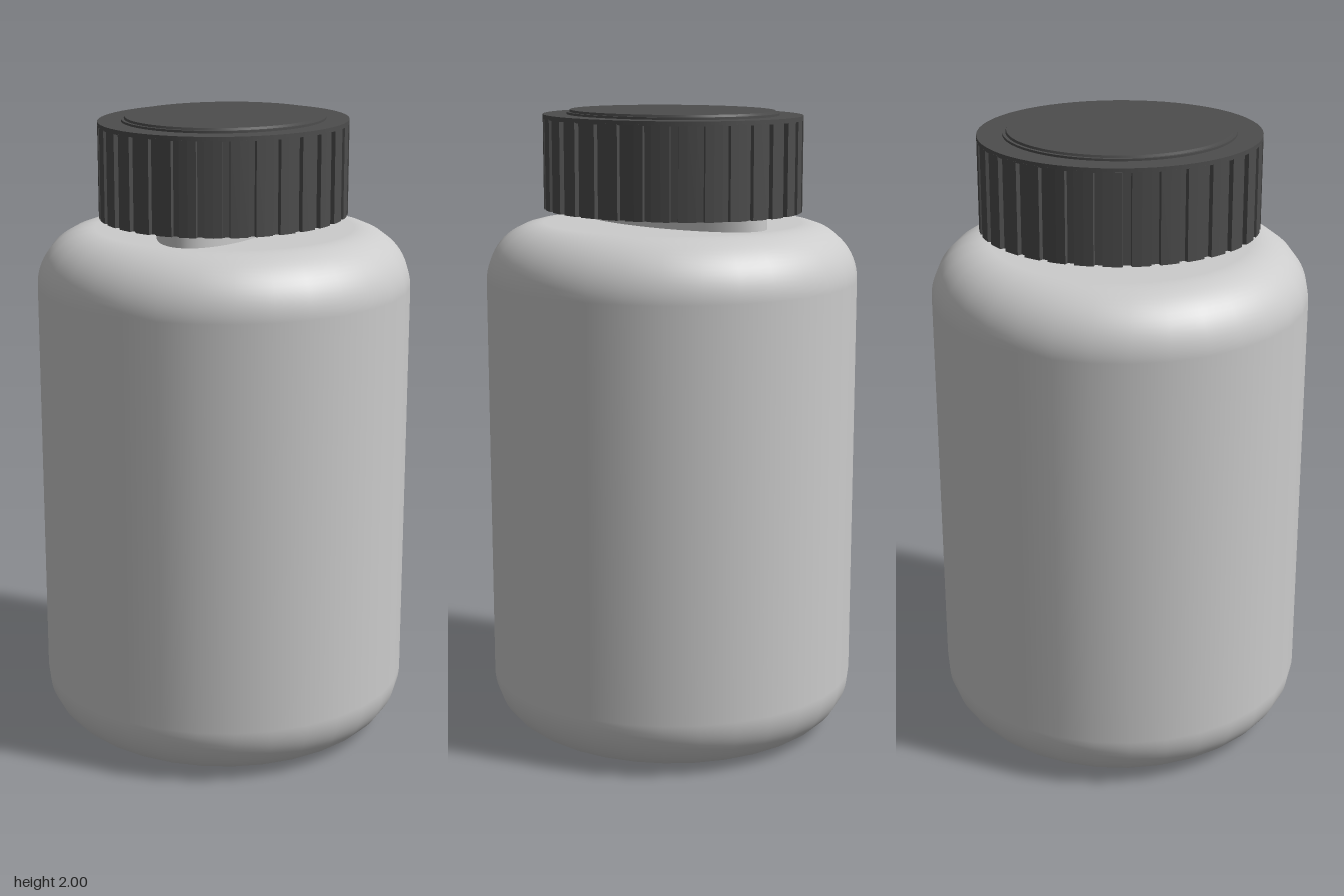
import * as THREE from 'three';

const CAP_X = 0.385, CAP_Z = 0.435;

export function createModel() {
  const group = new THREE.Group();
  const light = new THREE.MeshStandardMaterial({ color: 0xcccccc });
  const dark = new THREE.MeshStandardMaterial({ color: 0x4d4d4d });

  const add = (name, geometry, material) => {
    const mesh = new THREE.Mesh(geometry, material);
    mesh.name = name;
    group.add(mesh);
    return mesh;
  };

  // Elliptical disc standing between two heights
  const disc = (name, rx, rz, y0, y1, material, taper = 0) => {
    const mesh = add(name, new THREE.CylinderGeometry(1 - taper, 1, y1 - y0, 64), material);
    mesh.scale.set(rx, 1, rz);
    mesh.position.y = (y0 + y1) / 2;
  };

  // Bottle body: straight wall with rounded shoulders and foot
  const R = 0.59, H = 1.65, corner = 0.18;
  const profile = new THREE.Path();
  profile.moveTo(0, 0);
  profile.lineTo(R - corner, 0);
  profile.absarc(R - corner, corner, corner, -Math.PI / 2, 0, false);
  profile.lineTo(R, H - corner);
  profile.absarc(R - corner, H - corner, corner, 0, Math.PI / 2, false);
  profile.lineTo(0, H);
  add('body', new THREE.LatheGeometry(profile.getPoints(8), 32), light);

  // Narrow neck under the cap
  disc('neck', 0.17, 0.39, 1.64, 1.71, light);

  // Grip wall of the cap: elliptical outline cut by narrow grooves
  const grooves = 32, step = (Math.PI * 2) / grooves;
  const outline = [];
  for (let i = 0; i < grooves; i++) {
    for (const [t, depth] of [[-0.16, 0], [-0.14, 0.014], [0.14, 0.014], [0.16, 0], [0.5, 0]]) {
      const a = (i + t) * step;
      outline.push(new THREE.Vector2(Math.cos(a) * (CAP_X - depth), Math.sin(a) * (CAP_Z - depth)));
    }
  }
  const grip = new THREE.ExtrudeGeometry(new THREE.Shape(outline), { depth: 0.285, bevelEnabled: false });
  grip.rotateX(-Math.PI / 2);
  grip.translate(0, 1.69, 0);
  add('capGrip', grip, dark);

  // Smooth lid with a raised, stepped centre panel
  disc('capLid', CAP_X, CAP_Z, 1.972, 1.986, dark);
  disc('capPanelStep', 0.313, 0.357, 1.984, 1.993, dark);
  disc('capPanel', 0.305, 0.348, 1.99, 2.0, dark, 0.01);

  return group;
}
